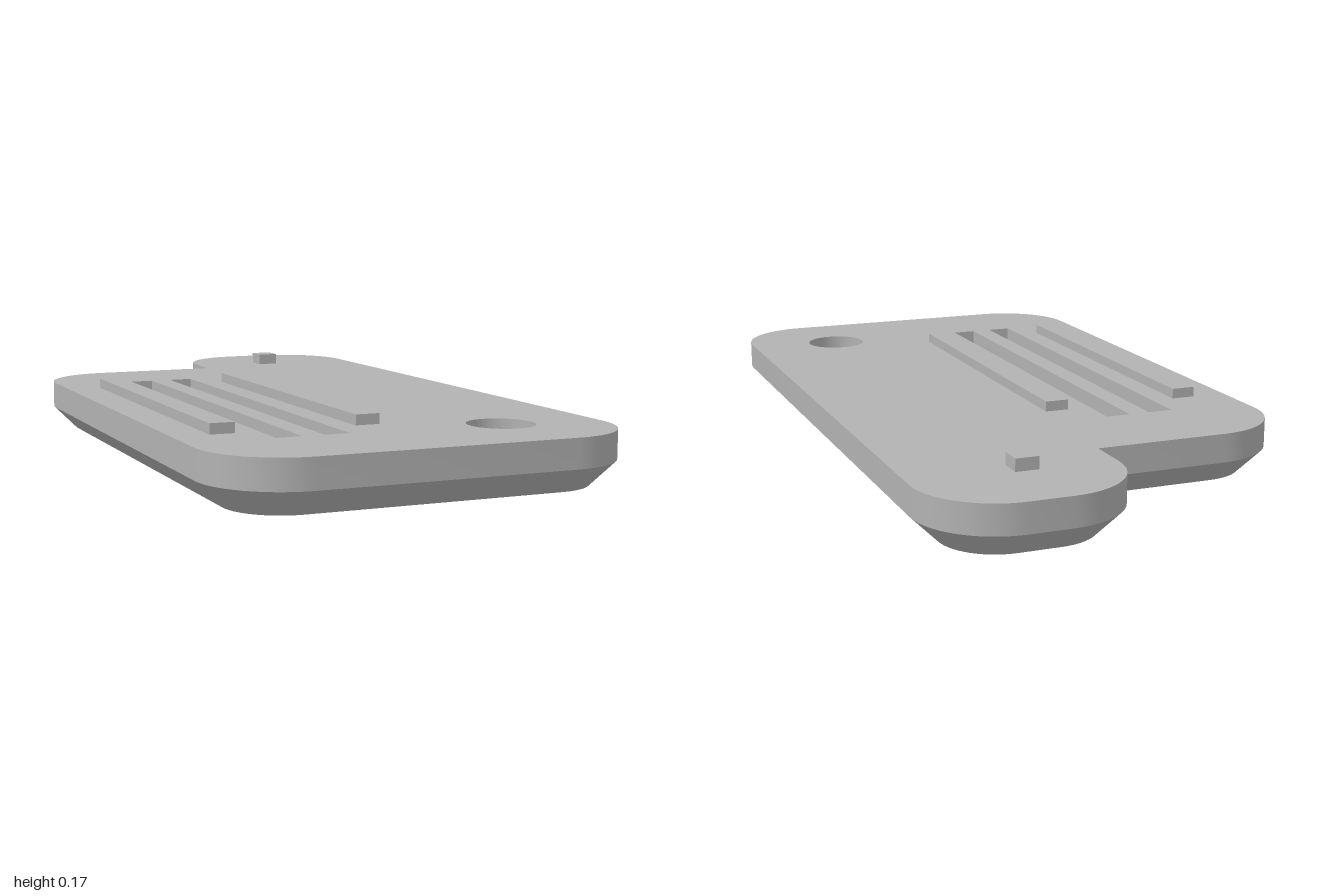
import * as THREE from 'three';
import { toCreasedNormals } from 'three/addons/utils/BufferGeometryUtils.js';

const TOP = 0.14, MID = 0.065, INSET = 0.065, POCKET = 0.1, BORE = 0.05;

// Loops are lists of [x, z] running from +x towards +z.
function arc(cx, cz, r, from, sweep, n) {
  const pts = [];
  for (let i = 0; i <= n; i++) {
    const t = from + (sweep * i) / n;
    pts.push([cx + r * Math.cos(t), cz + r * Math.sin(t)]);
  }
  return pts;
}

const circle = (cx, cz, r) => arc(cx, cz, r, 0, Math.PI * 2, 48).slice(0, -1);

const rect = (cx, cz, w, d) => [[1, -1], [1, 1], [-1, 1], [-1, -1]]
  .map(([sx, sz]) => [cx + (sx * w) / 2, cz + (sz * d) / 2]);

// Plate outline with a rounded tab at the back, shrunk by d
function outline(d) {
  const R = 0.205, X = 0.537, Q = Math.PI / 2, tabX = 0.02, backZ = -0.685;
  const corner = (x, z, q) => arc(x, z, R - d, q * Q, Q, 14);
  return [
    ...corner(X - R, 1 - R, 0),
    ...corner(-X + R, 1 - R, 1),
    ...corner(-X + R, backZ + R, 2),
    [tabX + d, backZ + d],
    ...corner(tabX + R, -1 + R, 2),
    ...corner(X - R, -1 + R, 3),
  ];
}

// Band between two matching loops; inward bands face the inside
function wall(upper, yUpper, lower, yLower, inward = false) {
  const pos = [], n = upper.length;
  for (let i = 0; i < n; i++) {
    const j = (i + 1) % n;
    const a = [upper[i][0], yUpper, upper[i][1]], b = [upper[j][0], yUpper, upper[j][1]];
    const c = [lower[j][0], yLower, lower[j][1]], d = [lower[i][0], yLower, lower[i][1]];
    const tris = inward ? [a, d, b, b, d, c] : [a, b, d, b, c, d];
    pos.push(...tris.flat());
  }
  const geo = new THREE.BufferGeometry();
  geo.setAttribute('position', new THREE.Float32BufferAttribute(pos, 3));
  return toCreasedNormals(geo, 0.5);
}

// Flat face with holes, facing up or down
function face(loop, holes, y, up) {
  const s = up ? -1 : 1;
  const vec = (l) => l.map(([x, z]) => new THREE.Vector2(x, s * z));
  const shape = new THREE.Shape(vec(loop));
  shape.holes = holes.map((h) => new THREE.Path(vec(h)));
  return new THREE.ShapeGeometry(shape).rotateX((s * Math.PI) / 2).translate(0, y, 0);
}

export function createModel() {
  const model = new THREE.Group();
  model.name = 'tagPlate';
  const grey = new THREE.MeshStandardMaterial({ color: 0xb2b2b2 });
  grey.name = 'grey';
  const add = (name, geo) => {
    const mesh = new THREE.Mesh(geo, grey);
    mesh.name = name;
    model.add(mesh);
    return mesh;
  };

  const full = outline(0), small = outline(INSET);
  const hole = circle(0.277, 0.74, 0.086), bore = circle(0.277, 0.74, 0.18);
  const slots = [-0.285, -0.162].map((x) => rect(x, 0.155, 0.066, 1.16));

  // Plate body
  add('topFace', face(full, [hole, ...slots], TOP, true));
  add('sideWall', wall(full, TOP, full, MID));
  add('bottomChamfer', wall(full, MID, small, 0));
  add('bottomFace', face(small, [bore], 0, false));

  // Counterbored hole
  add('holeWall', wall(hole, TOP, hole, BORE, true));
  add('boreFloor', face(bore, [hole], BORE, false));
  add('boreWall', wall(bore, BORE, bore, 0, true));

  // Two sunken slots
  for (const slot of slots) {
    add('slotWall', wall(slot, TOP, slot, POCKET, true));
    add('slotFloor', face(slot, [], POCKET, true));
  }

  // Two raised ribs beside the slots
  for (const x of [-0.412, -0.034]) {
    add('rib', new THREE.BoxGeometry(0.064, 0.027, 0.95)).position.set(x, TOP + 0.0135, 0.157);
  }

  // Small raised stud on the tab
  add('stud', new THREE.BoxGeometry(0.06, 0.032, 0.06)).position.set(0.25, TOP + 0.016, -0.76);

  return model;
}
